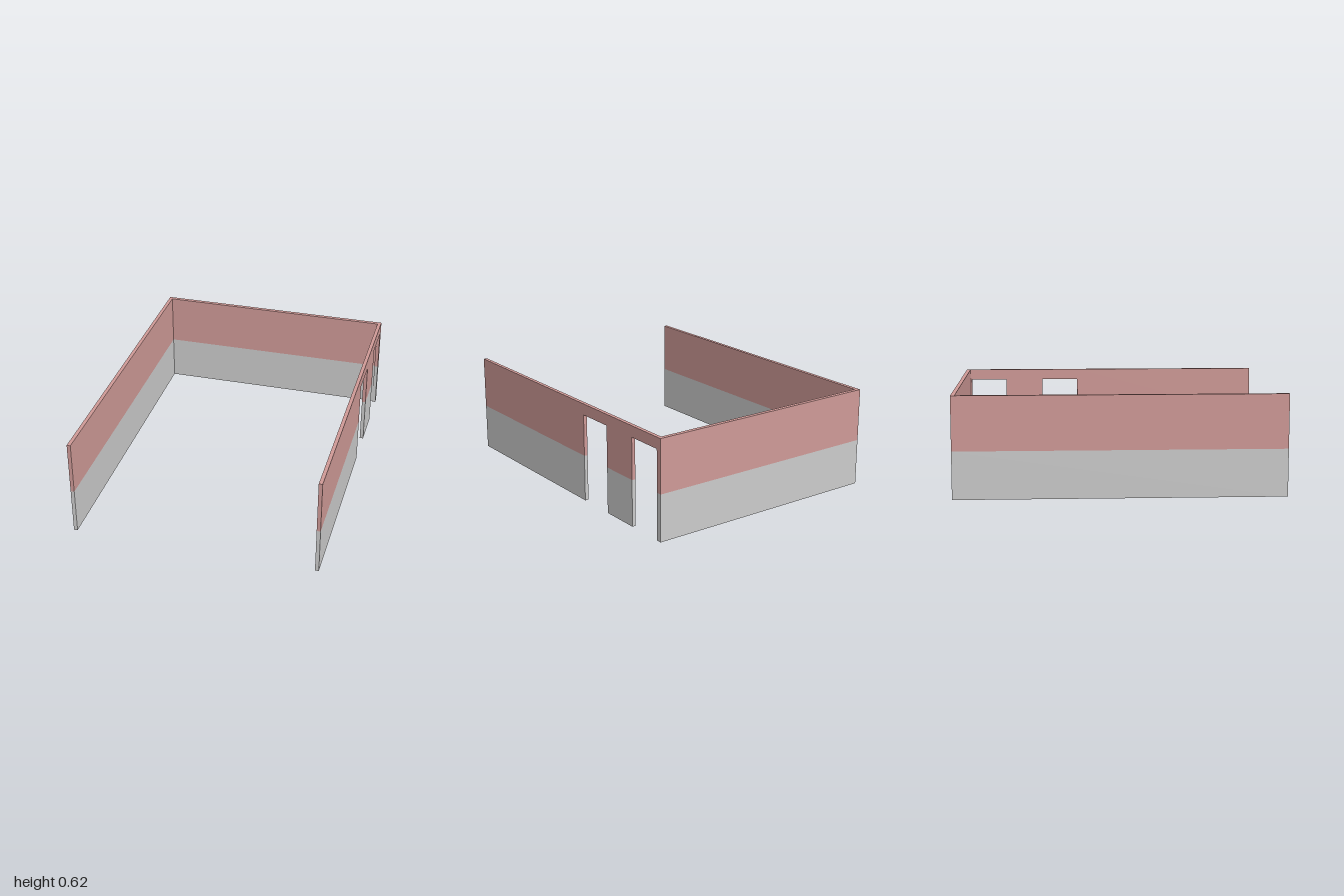
import * as THREE from 'three';

const X = 0.765, XI = 0.742;      // outer and inner faces of the side walls
const BACK = -1, BACK_IN = -0.975, FRONT = 1;
const HEIGHT = 0.62, SPLIT = 0.29, DOOR_TOP = 0.55;
const DOORS = [[-0.965, -0.725], [-0.47, -0.225]]; // z ranges in the left wall

const plaster = new THREE.MeshStandardMaterial({ color: 0xcccccc });
const paint = new THREE.MeshStandardMaterial({ color: 0xcf9a97 });

// Footprint given as [x, z] corners, raised from y0 to y1
function raise(name, footprint, y0, y1, material) {
  const shape = new THREE.Shape(footprint.map(([x, z]) => new THREE.Vector2(x, -z)));
  const geometry = new THREE.ExtrudeGeometry(shape, { depth: y1 - y0, bevelEnabled: false });
  geometry.rotateX(-Math.PI / 2).translate(0, y0, 0);
  const mesh = new THREE.Mesh(geometry, material);
  mesh.name = name;
  return mesh;
}

// Stretch of the left wall between two depths
const stretch = (z0, z1) => [[XI, z0], [XI, z1], [X, z1], [X, z0]];

export function createModel() {
  const model = new THREE.Group();
  model.name = 'roomWalls';

  // Right wall, back wall and the corner up to the first door, in one piece
  const corner = [
    [-X, FRONT], [-XI, FRONT], [-XI, BACK_IN], [XI, BACK_IN],
    [XI, DOORS[0][0]], [X, DOORS[0][0]], [X, BACK], [-X, BACK],
  ];
  const pieces = {
    rightAndBackWall: corner,
    doorPier: stretch(DOORS[0][1], DOORS[1][0]),
    leftWall: stretch(DOORS[1][1], FRONT),
  };

  // Each piece has a plain lower band and a painted upper band
  for (const [name, footprint] of Object.entries(pieces)) {
    const wall = new THREE.Group();
    wall.name = name;
    wall.add(
      raise('lowerBand', footprint, 0, SPLIT, plaster),
      raise('upperBand', footprint, SPLIT, HEIGHT, paint),
    );
    model.add(wall);
  }

  // Lintels over the doorways
  DOORS.forEach(([z0, z1], i) => {
    model.add(raise(`doorLintel${i + 1}`, stretch(z0, z1), DOOR_TOP, HEIGHT, paint));
  });
  return model;
}
